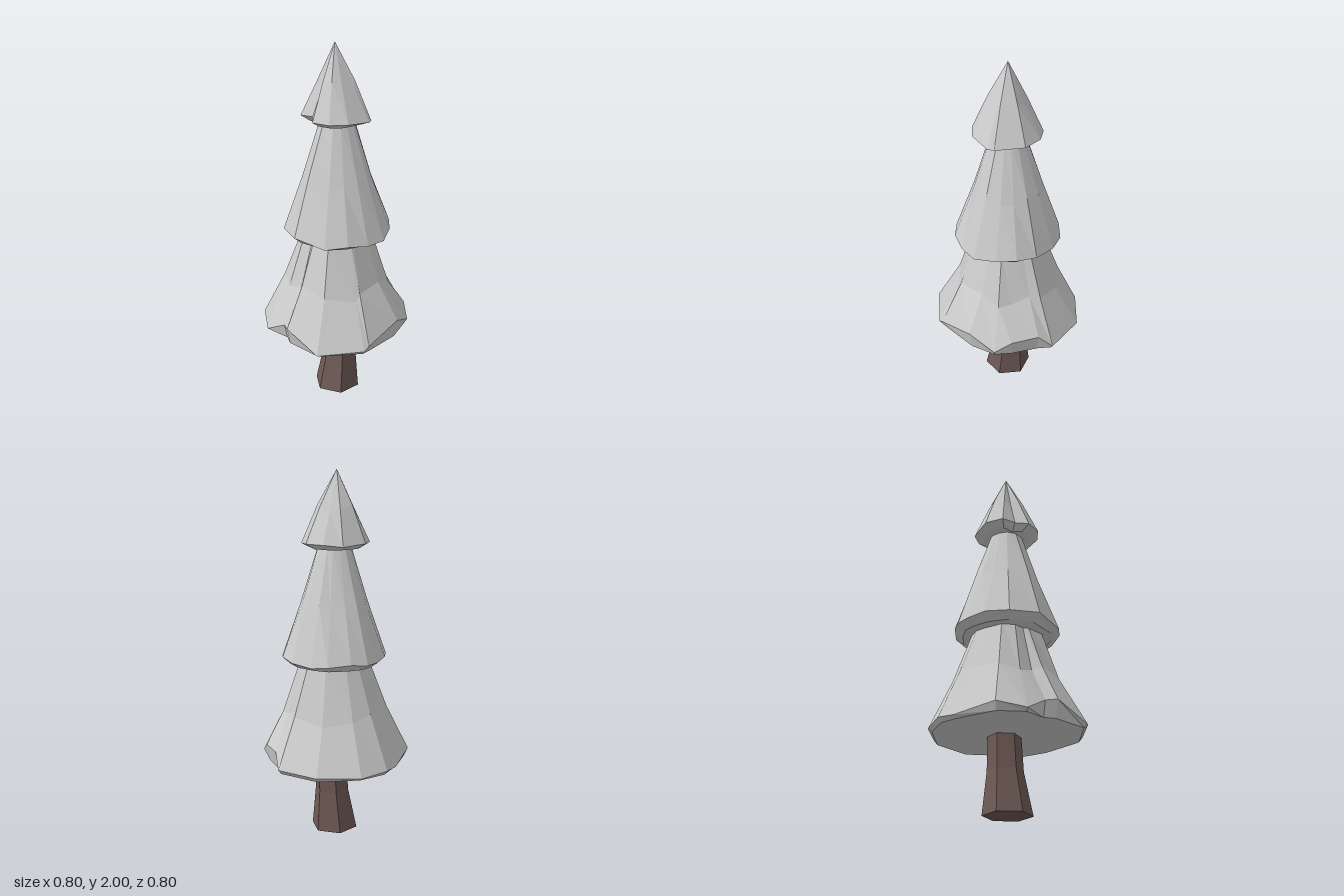
import * as THREE from 'three';

// Skin a stack of rings from bottom to top; a ring with one point closes to a tip
function loft(rings) {
  const pos = [];
  const tri = (...pts) => pts.forEach((p) => pos.push(...p));
  for (let k = 0; k < rings.length - 1; k++) {
    const low = rings[k], high = rings[k + 1];
    const n = Math.max(low.length, high.length);
    for (let i = 0; i < n; i++) {
      const j = (i + 1) % n;
      const a = low[i % low.length], d = low[j % low.length];
      const b = high[i % high.length], c = high[j % high.length];
      if (high.length > 1) tri(a, b, c);
      if (low.length > 1) tri(a, c, d);
    }
  }
  const geo = new THREE.BufferGeometry();
  geo.setAttribute('position', new THREE.Float32BufferAttribute(pos, 3));
  geo.computeVertexNormals();
  return geo;
}

// Rim corners [x, z, y], running back, left, front, right
const lowerRim = [
  [-0.01, -0.40, 0.44], [0.15, -0.365, 0.43], [0.335, -0.22, 0.44], [0.397, 0.01, 0.44],
  [0.355, 0.08, 0.515], [0.30, 0.22, 0.51], [0.25, 0.305, 0.45], [0.11, 0.37, 0.52],
  [-0.12, 0.40, 0.46], [-0.155, 0.40, 0.44], [-0.365, 0.265, 0.43], [-0.40, 0.05, 0.51],
  [-0.375, -0.01, 0.50], [-0.40, -0.135, 0.43], [-0.325, -0.27, 0.46], [-0.11, -0.37, 0.43],
];
const middleRim = [
  [0.02, -0.28, 1.0], [0.11, -0.245, 1.01], [0.21, -0.175, 1.0], [0.25, -0.09, 0.99],
  [0.27, 0.035, 1.0], [0.24, 0.145, 1.01], [0.17, 0.225, 1.0], [0.065, 0.295, 0.985],
  [-0.045, 0.295, 0.985], [-0.155, 0.265, 1.0], [-0.25, 0.19, 0.985], [-0.312, 0.015, 1.01],
  [-0.265, -0.145, 1.0], [-0.165, -0.23, 1.01], [-0.065, -0.27, 1.0],
];
const upperRim = [
  [-0.07, -0.17, 1.62], [0.075, -0.15, 1.61], [0.145, -0.075, 1.62], [0.165, 0.035, 1.62],
  [0.08, 0.165, 1.61], [0.05, 0.185, 1.61], [-0.085, 0.18, 1.62], [-0.165, 0.125, 1.62],
  [-0.20, 0.035, 1.62], [-0.15, -0.025, 1.63], [-0.16, -0.115, 1.62],
];

// One tier of foliage: flat underside, chipped rim, then shrinking rings [y, scale, roughness]
function tier(rim, [cx, cz], underY, underScale, rings, tipY) {
  const ring = (y, s, rough = 0) => rim.map(([x, z], i) => {
    const k = s * (1 + rough * Math.sin(i * 2.4));
    return [cx + (x - cx) * k, y + rough * 0.9 * Math.cos(i * 1.7), cz + (z - cz) * k];
  });
  return loft([
    [[cx, underY, cz]],
    ring(underY, underScale),
    rim.map(([x, z, y]) => [x, y, z]),
    ...rings.map((r) => ring(...r)),
    [[cx, tipY, cz]],
  ]);
}

export function createModel() {
  const group = new THREE.Group();
  const leaf = new THREE.MeshStandardMaterial({ color: 0xcccccc, flatShading: true });
  const bark = new THREE.MeshStandardMaterial({ color: 0x6e5a55, flatShading: true });
  const add = (name, geo, mat) => {
    const mesh = new THREE.Mesh(geo, mat);
    mesh.name = name;
    group.add(mesh);
  };

  // Leaning six-sided trunk
  const hex = (cx, y, r) => Array.from({ length: 6 }, (_, i) => {
    const a = i * Math.PI / 3;
    return [cx + r * Math.cos(a), y, 0.011 + r * Math.sin(a)];
  });
  add('trunk', loft([
    [[-0.02, 0, 0.011]], hex(-0.02, 0, 0.13), hex(0, 0.23, 0.095), hex(0.01, 0.45, 0.088), [[0.01, 0.45, 0.011]],
  ]), bark);

  // Foliage tiers
  add('lowerFoliage', tier(lowerRim, [-0.01, 0.01], 0.415, 0.95,
    [[0.7, 0.69, 0.03], [0.99, 0.45]], 0.99), leaf);
  add('middleFoliage', tier(middleRim, [-0.015, 0.005], 0.968, 0.84,
    [[1.3, 0.64, 0.025], [1.6, 0.31]], 1.6), leaf);
  add('upperFoliage', tier(upperRim, [-0.025, 0], 1.59, 0.72,
    [[1.8, 0.54, 0.02]], 2), leaf);

  return group;
}
